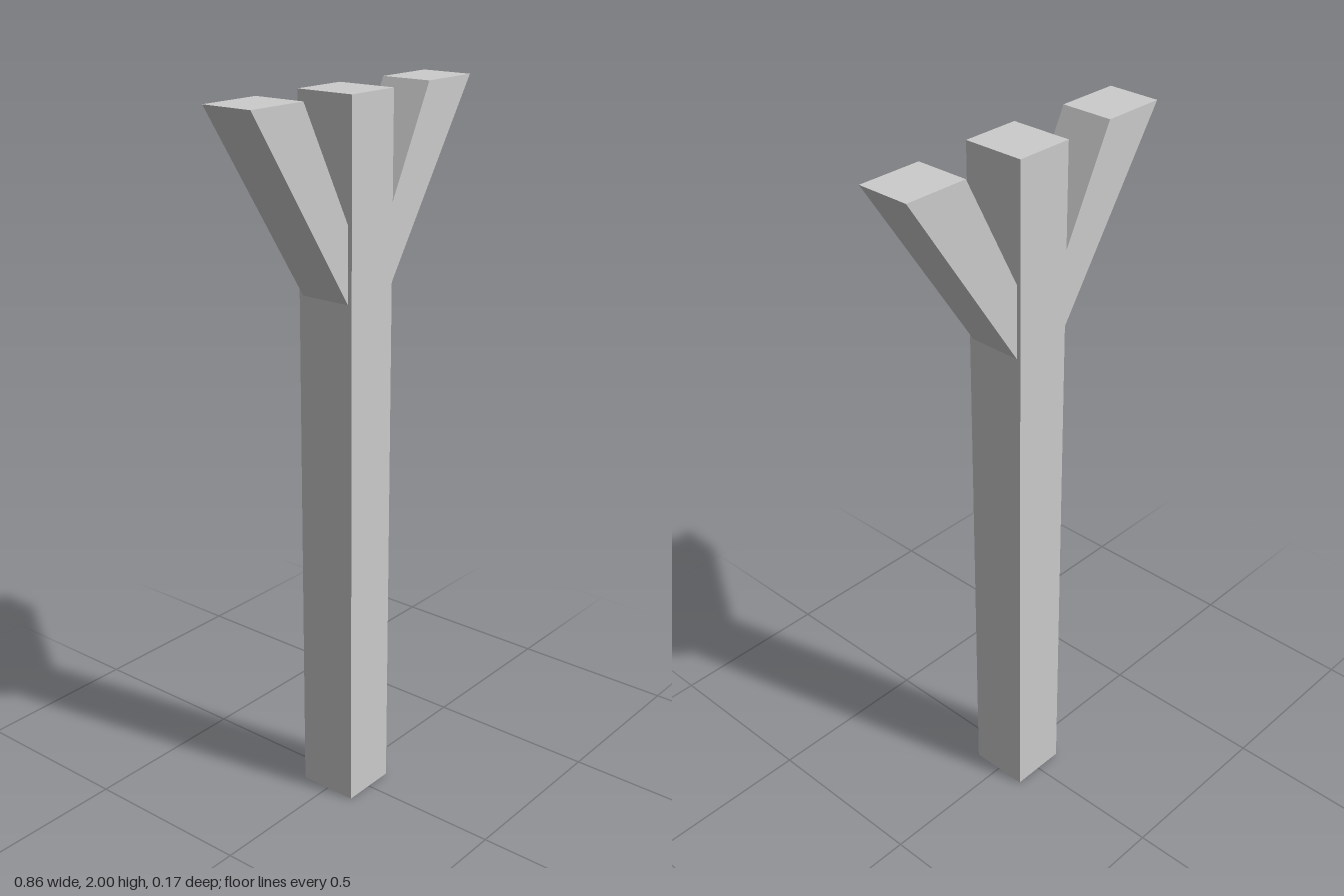
import * as THREE from 'three';

const HEIGHT = 2;
const POST_WIDTH = 0.166;
const POST_DEPTH = 0.174;
const BRACE_DEPTH = 0.15;

export function createModel() {
  const model = new THREE.Group();
  model.name = 'bracedPost';
  const material = new THREE.MeshStandardMaterial({ color: 0xcccccc, flatShading: true });

  // Upright square post
  const post = new THREE.Mesh(new THREE.BoxGeometry(POST_WIDTH, HEIGHT, POST_DEPTH), material);
  post.name = 'post';
  post.position.y = HEIGHT / 2;
  model.add(post);

  // Slanted braces, cut level at the top and flush against the post
  const half = POST_WIDTH / 2;
  const profile = [[half, 1.475], [0.43, HEIGHT], [0.248, HEIGHT], [half, 1.68]];
  for (const [name, side] of [['leftBrace', 1], ['rightBrace', -1]]) {
    const shape = new THREE.Shape(profile.map(([x, y]) => new THREE.Vector2(side * x, y)));
    const geometry = new THREE.ExtrudeGeometry(shape, { depth: BRACE_DEPTH, bevelEnabled: false });
    geometry.translate(0, 0, -BRACE_DEPTH / 2);
    const brace = new THREE.Mesh(geometry, material);
    brace.name = name;
    model.add(brace);
  }

  return model;
}
